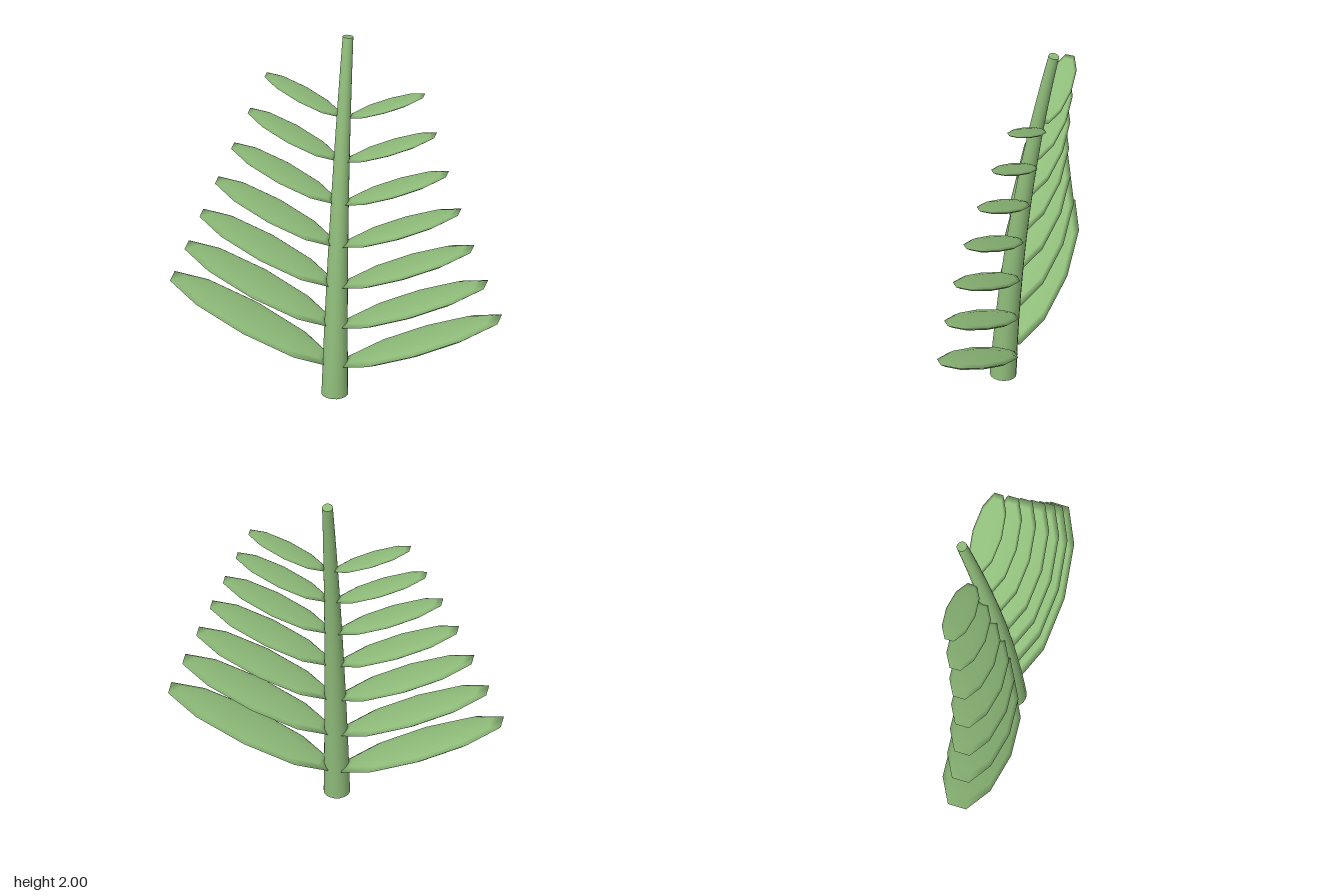
import * as THREE from 'three';

// Backward lean of the stem at height y, and its slope
const stemZ = (y) => 0.085 - 0.05 * y - 0.045 * y * y;
const stemSlope = (y) => -0.05 - 0.09 * y;

// Tapered, capped cylinder bent along the lean curve
function bentStem() {
  const height = 1.99;
  const geo = new THREE.CylinderGeometry(0.028, 0.069, height, 16, 12);
  geo.translate(0, height / 2 + 0.004, 0);
  const pos = geo.attributes.position;
  const nor = geo.attributes.normal;
  const axis = new THREE.Vector3(1, 0, 0);
  const v = new THREE.Vector3();
  for (let i = 0; i < pos.count; i++) {
    const y = pos.getY(i);
    const angle = Math.atan(stemSlope(y));
    v.set(pos.getX(i), 0, pos.getZ(i)).applyAxisAngle(axis, angle);
    pos.setXYZ(i, v.x, y + v.y, stemZ(y) + v.z);
    v.fromBufferAttribute(nor, i).applyAxisAngle(axis, angle);
    nor.setXYZ(i, v.x, v.y, v.z);
  }
  return geo;
}

export function createModel() {
  const model = new THREE.Group();
  model.name = 'frond';
  const green = new THREE.MeshStandardMaterial({ color: 0x8fbc7a });
  green.name = 'leafGreen';

  const stem = new THREE.Mesh(bentStem(), green);
  stem.name = 'stem';
  model.add(stem);

  // Ten-sided flattened ellipsoid leaflet, long axis along x with blunt tips
  const leafGeo = new THREE.SphereGeometry(1, 10, 6);
  leafGeo.rotateY(Math.PI / 2);

  // Mirrored pairs of leaflets, shrinking toward the top
  const leafZ = [0.058, 0.052, 0.037, 0.013, -0.027, -0.073, -0.128];
  const tilt = THREE.MathUtils.degToRad(25);
  leafZ.forEach((z, i) => {
    const t = i / (leafZ.length - 1);
    const halfLength = THREE.MathUtils.lerp(0.484, 0.227, t);
    const halfWidth = THREE.MathUtils.lerp(0.159, 0.0785, t);
    const x = THREE.MathUtils.lerp(0.452, 0.225, t);
    const y = THREE.MathUtils.lerp(0.37, 1.648, t);
    for (const side of [1, -1]) {
      const leaf = new THREE.Mesh(leafGeo, green);
      leaf.name = (side > 0 ? 'leftLeaflet' : 'rightLeaflet') + (i + 1);
      leaf.scale.set(halfLength, halfLength * 0.058, halfWidth);
      leaf.position.set(side * x, y, z);
      leaf.rotation.z = side * tilt;
      model.add(leaf);
    }
  });
  return model;
}
